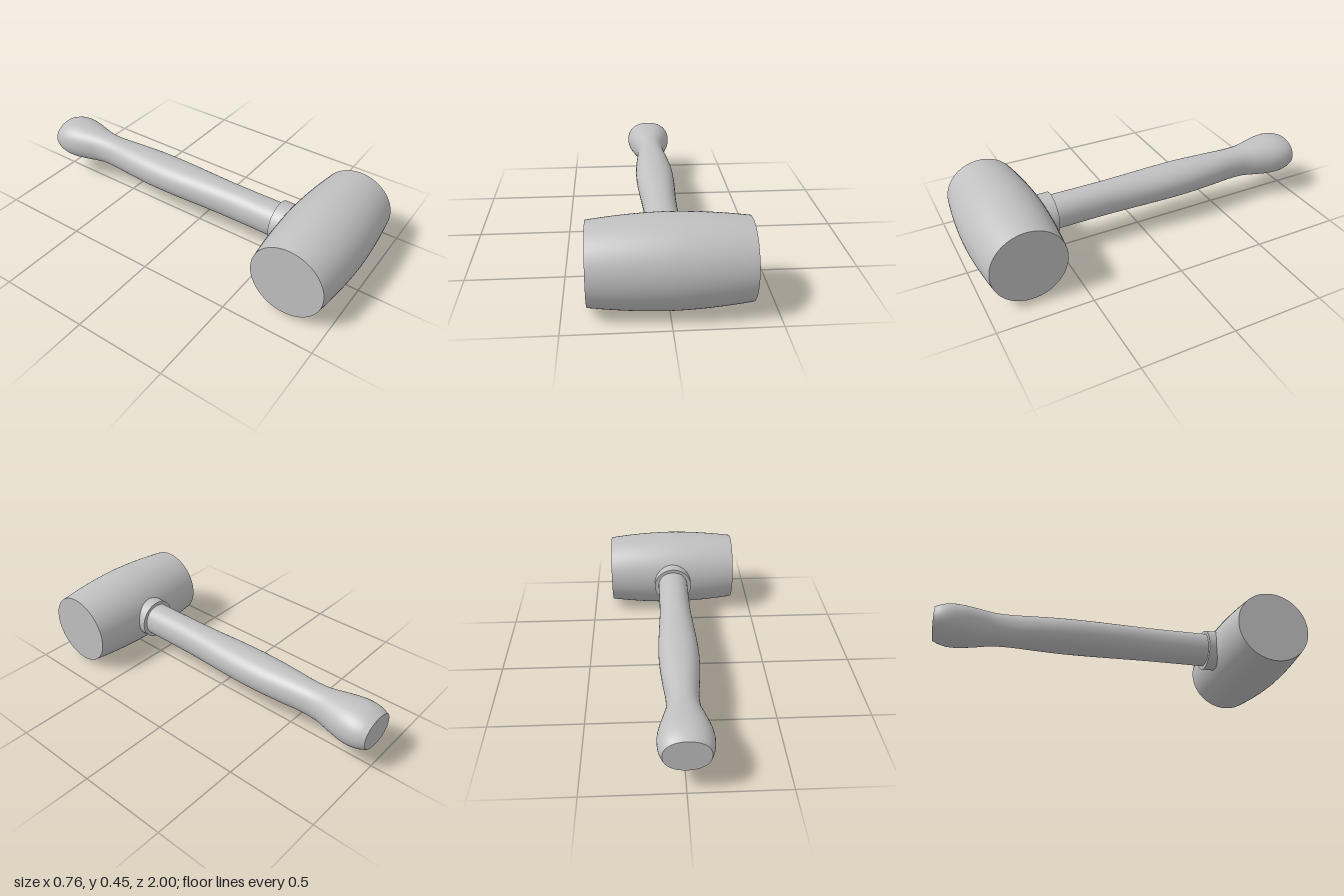
import * as THREE from 'three';
import { toCreasedNormals } from 'three/addons/utils/BufferGeometryUtils.js';

const AXIS_Y = 0.228; // height of head and handle axes
const HEAD_Z = 0.773;

// Turned handle: each station is (half width, half height, z), oval in section
function handleGeometry() {
  const stations = [
    [0.088, 0.092, 0.62], [0.089, 0.092, 0.5], [0.09, 0.092, 0.2], [0.1, 0.093, 0],
    [0.107, 0.094, -0.15], [0.107, 0.094, -0.3], [0.095, 0.091, -0.47],
    [0.083, 0.088, -0.6], [0.086, 0.091, -0.69], [0.107, 0.101, -0.77],
    [0.128, 0.109, -0.85], [0.134, 0.11, -0.91], [0.128, 0.101, -0.96], [0.113, 0.085, -1],
  ].map((p) => new THREE.Vector3(...p));
  const curve = new THREE.CatmullRomCurve3(stations, false, 'centripetal');
  const rows = 65;
  const geo = new THREE.CylinderGeometry(1, 1, 1, 48, rows);
  geo.rotateX(-Math.PI / 2);
  const pos = geo.attributes.position;
  const soft = (v) => Math.sign(v) * Math.pow(Math.abs(v), 0.92); // slightly squared oval
  for (let i = 0; i < pos.count; i++) {
    const t = THREE.MathUtils.clamp(0.5 - pos.getZ(i), 0, 1);
    const s = curve.getPoint(t);
    pos.setXYZ(i, soft(pos.getX(i)) * s.x, soft(pos.getY(i)) * s.y, s.z);
  }
  return toCreasedNormals(geo, 0.7);
}

// Barrel shaped head, turned about x with flat striking faces
function headGeometry() {
  const half = 0.38, n = 24;
  const profile = [new THREE.Vector2(0, -half)];
  for (let i = 0; i <= n; i++) {
    const u = (i / n) * 2 - 1;
    profile.push(new THREE.Vector2(0.199 + 0.028 * (1 - Math.pow(Math.abs(u), 1.8)), u * half));
  }
  profile.push(new THREE.Vector2(0, half));
  const geo = new THREE.LatheGeometry(profile, 72);
  geo.rotateZ(-Math.PI / 2);
  return toCreasedNormals(geo, 0.7);
}

export function createModel() {
  const model = new THREE.Group();
  model.name = 'mallet';
  const grey = new THREE.MeshStandardMaterial({ color: 0xc0c0c0 });
  grey.name = 'light grey';

  const add = (name, geo, z) => {
    const mesh = new THREE.Mesh(geo, grey);
    mesh.name = name;
    mesh.position.set(0, AXIS_Y, z);
    model.add(mesh);
    return mesh;
  };

  add('head', headGeometry(), HEAD_Z);
  add('handle', handleGeometry(), 0).position.y = 0.231;

  // Collar ring seated into the back of the head
  const collar = new THREE.CylinderGeometry(0.112, 0.112, 0.1, 48);
  collar.rotateX(-Math.PI / 2);
  add('collar', collar, 0.56).position.y = 0.231;

  return model;
}
